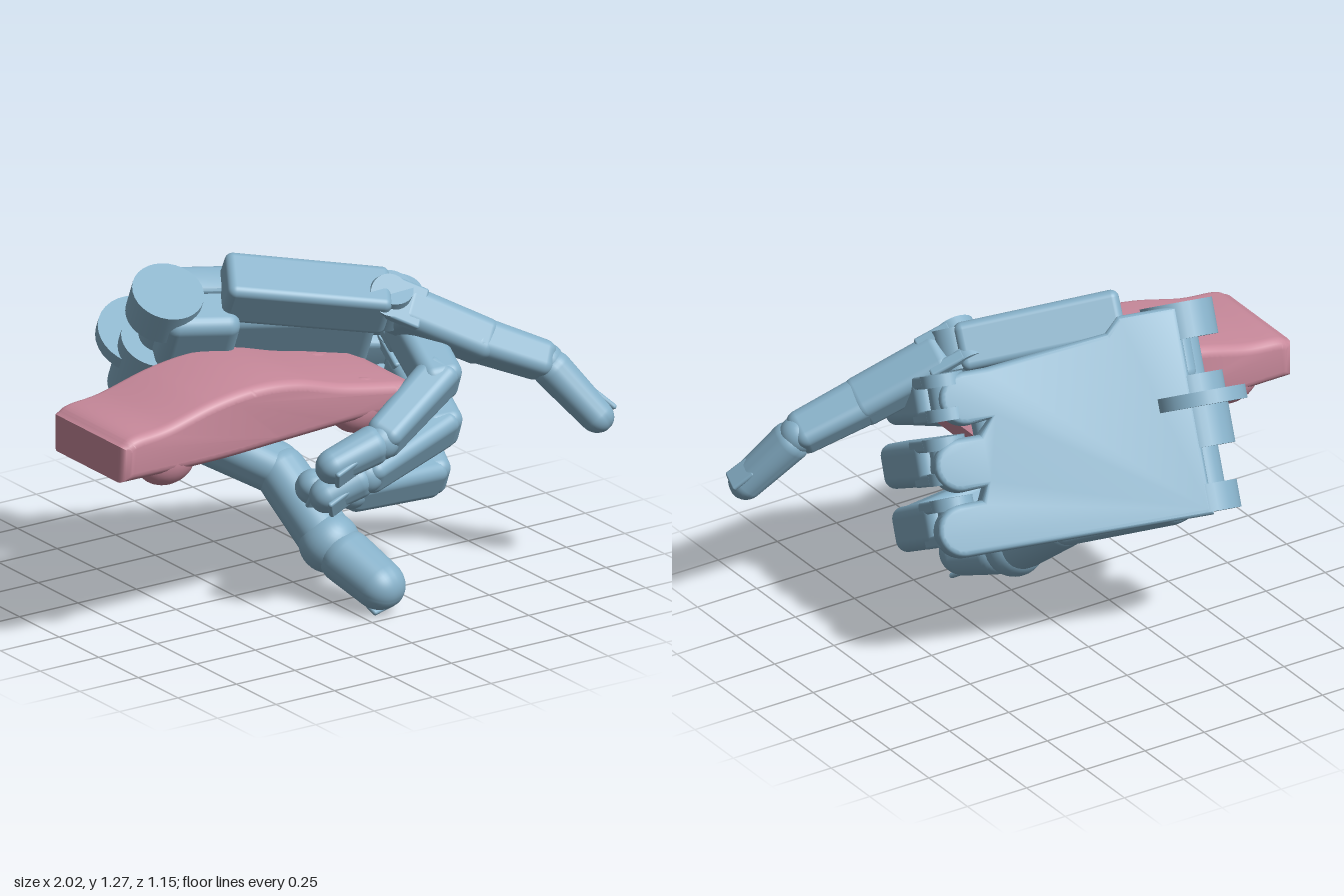
import * as THREE from 'three';
import { toCreasedNormals } from 'three/addons/utils/BufferGeometryUtils.js';
import { RoundedBoxGeometry } from 'three/addons/geometries/RoundedBoxGeometry.js';

const V = (a) => new THREE.Vector3(...a);
const blue = new THREE.MeshStandardMaterial({ color: 0x86b0c8 });
const pink = new THREE.MeshStandardMaterial({ color: 0xc98a9c });

// Palm frame: along the hand, across it (little finger to index), toward the palm
const along = V([0.94, -0.07, 0.33]).normalize();
const across = V([-0.11, 0.86, 0.5]);
across.addScaledVector(along, -across.dot(along)).normalize();
const inward = along.clone().cross(across);
const origin = V([-0.37, 0.6, -0.57]);

function add(parent, name, geometry, position = [0, 0, 0], material = blue) {
  const mesh = new THREE.Mesh(geometry, material);
  mesh.name = name;
  mesh.position.set(...position);
  parent.add(mesh);
  return mesh;
}

function rod(parent, name, r, len, position) {
  return add(parent, name, new THREE.CylinderGeometry(r, r, len, 32), position);
}

// Group running from a to b: z along the limb, x sideways, -y on the nail side
function limbFrame(parent, name, a, b, side) {
  const z = b.clone().sub(a).normalize();
  const x = side.clone().addScaledVector(z, -side.dot(z)).normalize();
  const g = new THREE.Group();
  g.name = name;
  g.quaternion.setFromRotationMatrix(new THREE.Matrix4().makeBasis(x, z.clone().cross(x), z));
  g.position.copy(a);
  parent.add(g);
  return g;
}

// Rounded bar from z0 to z1 which narrows toward its end
function bar(parent, name, w, d, z0, z1, taper, r, x = 0) {
  const len = z1 - z0;
  const geo = new RoundedBoxGeometry(w, d, len, 6, r);
  const p = geo.attributes.position;
  for (let i = 0; i < p.count; i++) {
    const s = 1 + (taper - 1) * (p.getZ(i) / len + 0.5);
    p.setX(i, p.getX(i) * s);
    p.setY(i, p.getY(i) * s);
  }
  return add(parent, name, geo, [x, 0, (z0 + z1) / 2]);
}

function nail(parent, w, d, len) {
  const mesh = add(parent, 'nail', new RoundedBoxGeometry(w * 0.6, 0.02, 0.1, 4, 0.009), [0, -d * 0.41, len - 0.085]);
  mesh.rotation.x = 0.15;
}

// Three-part finger through knuckle, middle joint, end joint and tip
function finger(parent, name, points, w, side) {
  const g = new THREE.Group();
  g.name = name;
  parent.add(g);
  const p = points.map(V);
  const d = w * 0.95;
  const len = (i) => p[i].distanceTo(p[i + 1]);

  // Proximal part with an open, rounded fork around the knuckle pin
  const a = limbFrame(g, 'proximalPart', p[0], p[1], side);
  bar(a, 'proximalBody', w, d, 0.05, len(0) + 0.06, 0.95, 0.045);
  for (const s of [-1, 1]) {
    const x = s * w * 0.36;
    rod(a, 'knuckleCheek', d * 0.48, w * 0.26, [x, 0, 0]).rotation.z = Math.PI / 2;
    bar(a, 'forkArm', w * 0.26, d * 0.96, 0, 0.14, 1, 0.01, x);
  }
  rod(a, 'knucklePin', 0.055, w * 0.8, [0, 0, 0]).rotation.z = Math.PI / 2;
  // Middle part and its hinge
  const b = limbFrame(g, 'middlePart', p[1], p[2], side);
  bar(b, 'middleBody', w * 0.97, d * 0.93, -0.05, len(1) + 0.02, 0.87, 0.045);
  add(b, 'endJoint', new THREE.SphereGeometry(w * 0.4, 24, 16), [0, 0, len(1)]);
  // Fingertip
  const c = limbFrame(g, 'fingertip', p[2], p[3], side);
  bar(c, 'tipBody', w * 0.88, d * 0.86, -0.02, len(2), 0.8, 0.062);
  nail(c, w * 0.8, d * 0.82, len(2));
}

function buildPalm(hand) {
  const palm = new THREE.Group();
  palm.name = 'palm';
  palm.quaternion.setFromRotationMatrix(new THREE.Matrix4().makeBasis(along, across, inward));
  palm.position.copy(origin);
  hand.add(palm);

  // Back plate with three rounded knuckle prongs
  const s = new THREE.Shape();
  s.moveTo(0.06, 0.01);
  [[0.09, 1.01], [0.32, 0.98], [0.55, 0.92]].forEach(([y, tip]) => {
    s.lineTo(tip - 0.17, y - 0.075);
    s.absarc(tip - 0.075, y, 0.075, -Math.PI / 2, Math.PI / 2, false);
    s.lineTo(tip - 0.17, y + 0.075);
  });
  s.lineTo(0.3, 0.67);
  s.lineTo(0.25, 0.72);
  s.lineTo(0.06, 0.72);
  s.closePath();
  const plate = new THREE.ExtrudeGeometry(s, {
    depth: 0.08, bevelSize: 0.02, bevelThickness: 0.02, bevelSegments: 3, curveSegments: 12,
  });
  add(palm, 'backPlate', toCreasedNormals(plate, 0.6), [0, 0, 0.02]);
  add(palm, 'palmPad', new RoundedBoxGeometry(0.74, 0.6, 0.12, 4, 0.05), [0.45, 0.34, 0.12]);

  // Wrist heel blocks
  add(palm, 'upperHeel', new RoundedBoxGeometry(0.28, 0.26, 0.25, 4, 0.05), [0.14, 0.59, 0.15]);
  add(palm, 'lowerHeel', new RoundedBoxGeometry(0.3, 0.3, 0.24, 4, 0.08), [0.16, 0.16, 0.17]);
  const ball = add(palm, 'thumbBall', new THREE.SphereGeometry(0.17, 32, 20), [0.24, 0.17, 0.2]);
  ball.scale.set(1.15, 1, 0.75);

  // Wrist hinge: core, broad lugs with slots between, one wide thin disc
  rod(palm, 'wristCore', 0.075, 0.7, [0.04, 0.37, 0.12]);
  [[0.05, 0.05, 0.1], [0.03, 0.36, 0.26], [0.02, 0.685, 0.13]].forEach(([x, y, w]) =>
    rod(palm, 'wristLug', 0.13, w, [x, y, 0.13]));
  rod(palm, 'wristDisc', 0.165, 0.05, [0.01, 0.4, 0.04]);
}

// Index metacarpal, splayed forward from the palm, with its hinge
function buildIndexBase(hand) {
  const a = V([-0.27, 1.17, -0.03]);
  const b = V([0.26, 1.08, 0.21]);
  const g = limbFrame(hand, 'indexMetacarpal', a, b, across);
  const len = a.distanceTo(b);
  bar(g, 'metacarpalBody', 0.18, 0.2, -0.01, len, 0.97, 0.03);
  rod(g, 'indexHinge', 0.08, 0.15, [0, 0, len]).rotation.z = Math.PI / 2;
}

function buildThumb(hand) {
  const g = new THREE.Group();
  g.name = 'thumb';
  hand.add(g);
  const side = V([1, 0, 0]);
  const p = [[-0.28, 0.58, -0.36], [-0.02, 0.42, -0.06], [0.02, 0.215, 0.2], [0.105, 0.073, 0.505]].map(V);
  const len = (i) => p[i].distanceTo(p[i + 1]);
  bar(limbFrame(g, 'thumbBase', p[0], p[1], side), 'baseBody', 0.22, 0.2, -0.08, len(0) + 0.07, 0.82, 0.085);
  const mid = limbFrame(g, 'thumbMiddle', p[1], p[2], side);
  bar(mid, 'middleBody', 0.18, 0.18, -0.07, len(1) + 0.03, 1.08, 0.08);
  add(mid, 'thumbJoint', new THREE.SphereGeometry(0.11, 28, 20), [0, 0, len(1)]);
  const tip = limbFrame(g, 'thumbTip', p[2], p[3], side);
  bar(tip, 'tipBody', 0.21, 0.195, 0, len(2), 0.84, 0.094);
  nail(tip, 0.18, 0.17, len(2));
}

function buildCar(model) {
  const car = new THREE.Group();
  car.name = 'toyCar';
  model.add(car);
  // Side profile: roof spline, then the underside
  const s = new THREE.Shape();
  const curve = (pts) => s.splineThru(pts.map((q) => new THREE.Vector2(...q)));
  s.moveTo(-0.965, 0.74);
  s.lineTo(-0.965, 0.82);
  curve([[-0.93, 0.835], [-0.8, 0.85], [-0.6, 0.9], [-0.42, 0.92], [-0.25, 0.905], [-0.05, 0.85], [0.2, 0.805]]);
  s.lineTo(0.24, 0.785);
  s.lineTo(0.23, 0.755);
  curve([[0.05, 0.77], [-0.3, 0.755], [-0.6, 0.74], [-0.965, 0.74]]);
  const body = new THREE.ExtrudeGeometry(s, {
    depth: 0.38, bevelSize: 0.035, bevelThickness: 0.04, bevelSegments: 5, curveSegments: 16,
  });
  add(car, 'carBody', toCreasedNormals(body, 0.8), [0, 0, -0.01], pink);
  // Softly rounded wheels
  for (const [x, y] of [[-0.77, 0.74], [0.06, 0.765]]) {
    for (const z of [0.03, 0.33]) {
      const w = add(car, 'wheel', new THREE.SphereGeometry(1, 28, 18), [x, y, z], pink);
      w.scale.set(0.12, 0.1, 0.08);
    }
  }
}

export function createModel() {
  const model = new THREE.Group();
  model.name = 'handHoldingToyCar';
  const hand = new THREE.Group();
  hand.name = 'hand';
  model.add(hand);
  buildPalm(hand);
  buildIndexBase(hand);
  buildThumb(hand);
  const indexSide = V([-0.3, 0.55, 0.65]);
  finger(hand, 'indexFinger', [[0.24, 1.085, 0.2], [0.56, 0.91, 0.33], [0.8, 0.8, 0.41], [0.975, 0.555, 0.55]], 0.17, indexSide);
  finger(hand, 'middleFinger', [[0.4, 0.99, 0.07], [0.36, 0.82, 0.38], [0.06, 0.67, 0.465], [-0.19, 0.59, 0.44]], 0.17, across);
  finger(hand, 'ringFinger', [[0.45, 0.79, -0.02], [0.41, 0.61, 0.31], [0.05, 0.52, 0.38], [-0.15, 0.44, 0.34]], 0.17, across);
  finger(hand, 'littleFinger', [[0.48, 0.6, -0.12], [0.42, 0.4, 0.22], [0.07, 0.42, 0.26], [-0.12, 0.46, 0.2]], 0.17, across);
  buildCar(model);
  return model;
}
